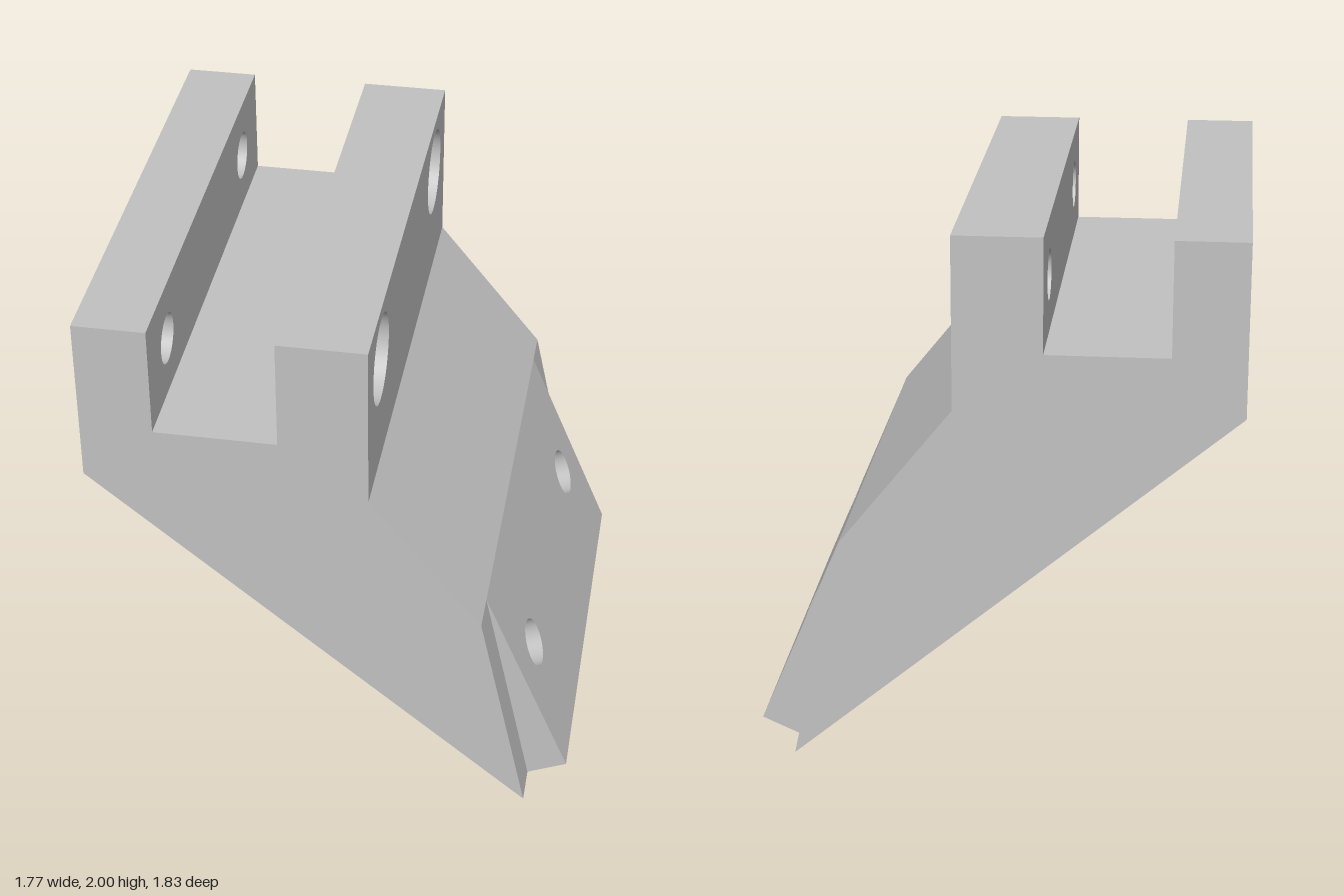
import * as THREE from 'three';

const grey = new THREE.MeshStandardMaterial({ color: 0xc2c2c2, side: THREE.DoubleSide });
grey.name = 'light grey';

const HALF = 0.915; // half width of the body
const LIP = 0.77; // half width of the clamping wedge
const WALL_Z = 0.64; // upper bolt spacing
const WEDGE_Z = 0.535; // lower bolt spacing
const HOLE = 0.093, HEAD = 0.167, NUT = 0.177;

const V = (x, y) => new THREE.Vector2(x, y);

function add(group, name, geometry) {
  const mesh = new THREE.Mesh(geometry, grey);
  mesh.name = name;
  group.add(mesh);
}

// Regular polygon or ellipse outline
function ring(cx, cy, rx, ry, sides) {
  const pts = [];
  for (let i = 0; i < sides; i++) {
    const a = (i / sides) * Math.PI * 2;
    pts.push(V(cx + rx * Math.cos(a), cy + ry * Math.sin(a)));
  }
  return pts;
}

// Flat strip over one profile edge a-b, between z0 and z1, with optional pair of holes
function strip(group, name, a, b, z0, z1, hole) {
  const length = a.distanceTo(b);
  const d = b.clone().sub(a).normalize();
  const shape = new THREE.Shape([V(0, z0), V(length, z0), V(length, z1), V(0, z1)]);
  if (hole) {
    for (const s of [-1, 1]) {
      shape.holes.push(new THREE.Path(ring(hole.u, s * hole.z, hole.ru, hole.rz, hole.sides ?? 40)));
    }
  }
  const m = new THREE.Matrix4().makeBasis(
    new THREE.Vector3(d.x, d.y, 0),
    new THREE.Vector3(0, 0, 1),
    new THREE.Vector3(d.y, -d.x, 0)
  ).setPosition(a.x, a.y, 0);
  add(group, name, new THREE.ShapeGeometry(shape).applyMatrix4(m));
}

// Matching flat ends at z = +half and z = -half
function ends(group, name, points, half) {
  add(group, name + 'Left', new THREE.ShapeGeometry(new THREE.Shape(points)).translate(0, 0, half));
  const mirrored = points.map((p) => V(-p.x, p.y));
  add(group, name + 'Right',
    new THREE.ShapeGeometry(new THREE.Shape(mirrored)).rotateY(Math.PI).translate(0, 0, -half));
}

// Open tube along local y; the start may be cut at a slant
function tube(radius, sides, from, to, slope = 0) {
  let g = new THREE.CylinderGeometry(radius, radius, 1, sides, 1, true, Math.PI / 2);
  const p = g.attributes.position;
  for (let i = 0; i < p.count; i++) {
    p.setY(i, p.getY(i) > 0 ? to : from + slope * p.getX(i));
  }
  if (sides === 6) {
    g = g.toNonIndexed();
    g.computeVertexNormals();
  }
  return g;
}

// Stepped bolt bore: wide recess, annular seat and narrow hole, mirrored in z
function bore(group, name, o, a, z, radius, sides, depth, total, slope = 0) {
  const seat = new THREE.Shape(ring(0, 0, radius, radius, sides));
  seat.holes.push(new THREE.Path(ring(0, 0, HOLE, HOLE, 40)));
  for (const s of [-1, 1]) {
    const m = new THREE.Matrix4().makeBasis(
      new THREE.Vector3(a.y, -a.x, 0),
      new THREE.Vector3(a.x, a.y, 0),
      new THREE.Vector3(0, 0, 1)
    ).setPosition(o.x, o.y, s * z);
    add(group, name + 'Recess', tube(radius, sides, 0, depth, slope).applyMatrix4(m));
    add(group, name + 'Seat',
      new THREE.ShapeGeometry(seat).rotateX(Math.PI / 2).translate(0, depth, 0).applyMatrix4(m));
    add(group, name + 'Hole', tube(HOLE, 40, depth, total).applyMatrix4(m));
  }
}

export function createModel() {
  const model = new THREE.Group();
  model.name = 'clampBracket';
  const body = new THREE.Group(), wedge = new THREE.Group(), bores = new THREE.Group();
  body.name = 'body';
  wedge.name = 'clampingWedge';
  bores.name = 'boltBores';
  model.add(body, wedge, bores);

  // Key corners of the wedge
  const toe = V(0.737, 0), tip = V(0.883, 0.066), brow = V(0.553, 0.85);

  // Body profile, counter-clockwise
  const profile = [
    V(0.14, 2), V(-0.18, 2), V(-0.18, 1.58), V(-0.625, 1.58), V(-0.625, 2),
    V(-0.888, 2), V(-0.888, 1.365), toe, brow, V(0.14, 1.365),
  ];
  const names = ['frontWallTop', 'frontWallInner', 'slotFloor', 'backWallInner', 'backWallTop',
    'backWallOuter', 'underside', 'sideLedge', 'upperSlope', 'frontWallOuter'];

  // Wedge bolt axis: square to the wedge face, leaving through the underside
  const face = brow.clone().sub(tip);
  const axis = V(-face.y, face.x).normalize();
  const entry = tip.clone().lerp(brow, 0.5);
  const heel = profile[6];
  const run = toe.clone().sub(heel).normalize();
  const normal = V(run.y, -run.x);
  const total = heel.clone().sub(entry).dot(normal) / axis.dot(normal);
  const exit = entry.clone().addScaledVector(axis, total);
  const inward = axis.clone().negate();
  const slope = -normal.dot(V(inward.y, -inward.x)) / normal.dot(inward);

  // Holes by profile edge
  const round = (u, r, sides) => ({ u, z: WALL_Z, ru: r, rz: r, sides });
  const holes = {
    frontWallInner: round(0.21, HOLE),
    backWallInner: round(0.21, HOLE),
    backWallOuter: round(0.21, NUT, 6),
    frontWallOuter: round(0.425, HEAD),
    underside: {
      u: exit.distanceTo(heel), z: WEDGE_Z, ru: HEAD / Math.abs(axis.dot(normal)), rz: HEAD,
    },
  };

  // Body faces; the ledge shows only beside the wedge
  profile.forEach((a, i) => {
    const b = profile[(i + 1) % profile.length];
    if (names[i] === 'sideLedge') {
      strip(body, 'sideLedgeLeft', a, b, LIP, HALF);
      strip(body, 'sideLedgeRight', a, b, -HALF, -LIP);
    } else {
      strip(body, names[i], a, b, -HALF, HALF, holes[names[i]]);
    }
  });
  ends(body, 'bodyEnd', profile, HALF);

  // Wedge faces
  strip(wedge, 'wedgeFace', tip, brow, -LIP, LIP,
    { u: face.length() / 2, z: WEDGE_Z, ru: HOLE, rz: HOLE });
  strip(wedge, 'wedgeBottom', toe, tip, -LIP, LIP);
  ends(wedge, 'wedgeEnd', [toe, tip, brow], LIP);

  // Bolt heads at the front, nut pockets at the back, counterbores below
  bore(bores, 'upperBolt', V(0.14, 1.79), V(-1, 0), WALL_Z, HEAD, 40, 0.16, 0.32);
  bore(bores, 'nutPocket', V(-0.888, 1.79), V(1, 0), WALL_Z, NUT, 6, 0.13, 0.263);
  bore(bores, 'lowerBolt', exit, inward, WEDGE_Z, HEAD, 40, total - 0.16, total, slope);

  return model;
}
